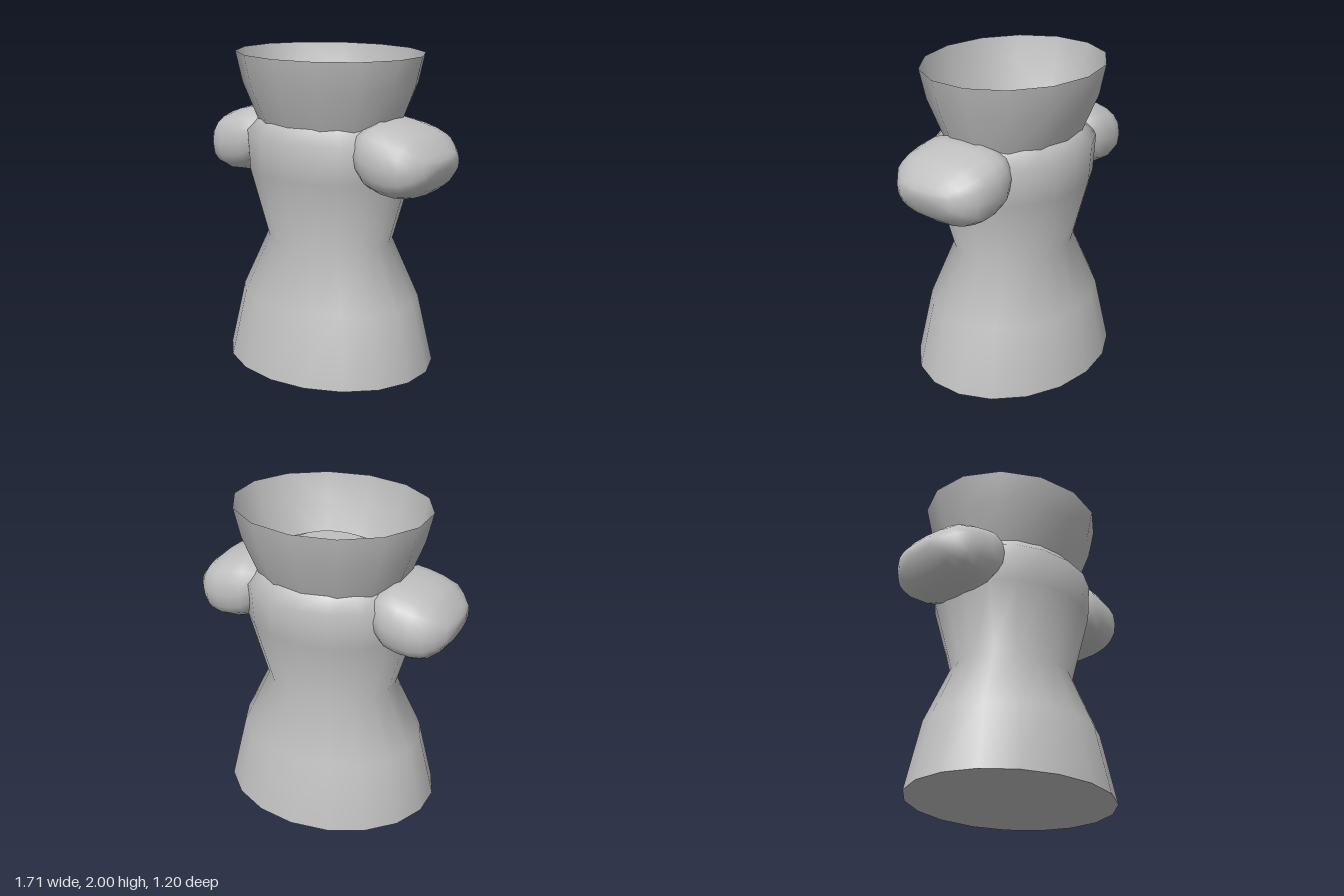
import * as THREE from 'three';

// Skin closed rings of points; rings run counter-clockwise about the direction of travel.
function loft(rings, smoothCaps = false) {
  const n = rings[0].length;
  const pos = rings.flat(2);
  const idx = [];
  for (let i = 0; i < rings.length - 1; i++) {
    for (let j = 0; j < n; j++) {
      const k = (j + 1) % n;
      const a = i * n + j, b = i * n + k, c = a + n, d = b + n;
      idx.push(a, b, d, a, d, c);
    }
  }
  if (smoothCaps) {
    [0, rings.length - 1].forEach((i) => {
      const centre = [0, 1, 2].map((q) => rings[i].reduce((s, p) => s + p[q], 0) / n);
      const m = pos.length / 3;
      pos.push(...centre);
      for (let j = 0; j < n; j++) {
        const a = i * n + j, b = i * n + (j + 1) % n;
        if (i === 0) idx.push(m, b, a);
        else idx.push(m, a, b);
      }
    });
  }
  const g = new THREE.BufferGeometry();
  g.setAttribute('position', new THREE.Float32BufferAttribute(pos, 3));
  g.setIndex(idx);
  g.computeVertexNormals();
  return g;
}

// Horizontal elliptical ring
function ellipse(y, rx, rz, sides) {
  return Array.from({ length: sides }, (_, j) => {
    const a = (j / sides) * Math.PI * 2;
    return [rx * Math.sin(a), y, rz * Math.cos(a)];
  });
}

// Upright rounded-rectangle ring at a given x
function armRing([x, top, bottom, rz], sides = 20) {
  const soft = (v) => Math.sign(v) * Math.pow(Math.abs(v), 0.78);
  return Array.from({ length: sides }, (_, j) => {
    const a = (j / sides) * Math.PI * 2;
    return [x, (top + bottom) / 2 + soft(Math.cos(a)) * (top - bottom) / 2, rz * soft(Math.sin(a))];
  });
}

export function createModel() {
  const group = new THREE.Group();
  const grey = new THREE.MeshStandardMaterial({ color: 0xbfbfbf, side: THREE.DoubleSide });
  grey.name = 'plain grey';
  const add = (name, geometry) => {
    const mesh = new THREE.Mesh(geometry, grey);
    mesh.name = name;
    group.add(mesh);
    return mesh;
  };

  // Waisted body with domed shoulders: y, x radius, z radius
  const body = [
    [0, 0.715, 0.6], [0.44, 0.61, 0.51], [0.82, 0.43, 0.36], [1.26, 0.555, 0.467],
    [1.5, 0.57, 0.48], [1.58, 0.48, 0.405], [1.67, 0.385, 0.325], [1.73, 0.25, 0.21],
  ];
  add('body', loft(body.map(([y, rx, rz]) => ellipse(y, rx, rz, 18))));

  // Flat ends of the body
  const disc = (name, [y, rx, rz], tilt) => {
    const g = new THREE.CircleGeometry(1, 18, Math.PI / 2);
    g.scale(rx, rz, 1).rotateX(tilt).translate(0, y, 0);
    add(name, g);
  };
  disc('bodyBase', body[0], Math.PI / 2);
  disc('bodyTop', body[body.length - 1], -Math.PI / 2);

  // Open flared collar
  const collar = [[1.56, 0.485, 0.4], [1.81, 0.58, 0.505], [2, 0.625, 0.54]];
  add('collar', loft(collar.map(([y, rx, rz]) => ellipse(y, rx, rz, 14))));

  // Stubby arms: x, top, bottom, z radius
  const arm = [
    [0.35, 1.55, 1.42, 0.22], [0.4, 1.605, 1.29, 0.3], [0.48, 1.635, 1.21, 0.335],
    [0.56, 1.622, 1.185, 0.34], [0.65, 1.6, 1.177, 0.335], [0.73, 1.57, 1.195, 0.315],
    [0.79, 1.52, 1.24, 0.26], [0.835, 1.465, 1.3, 0.2], [0.856, 1.43, 1.37, 0.1],
  ];
  const armGeometry = loft(arm.map((s) => armRing(s)), true);
  add('leftArm', armGeometry);
  add('rightArm', armGeometry).rotation.y = Math.PI;

  return group;
}
